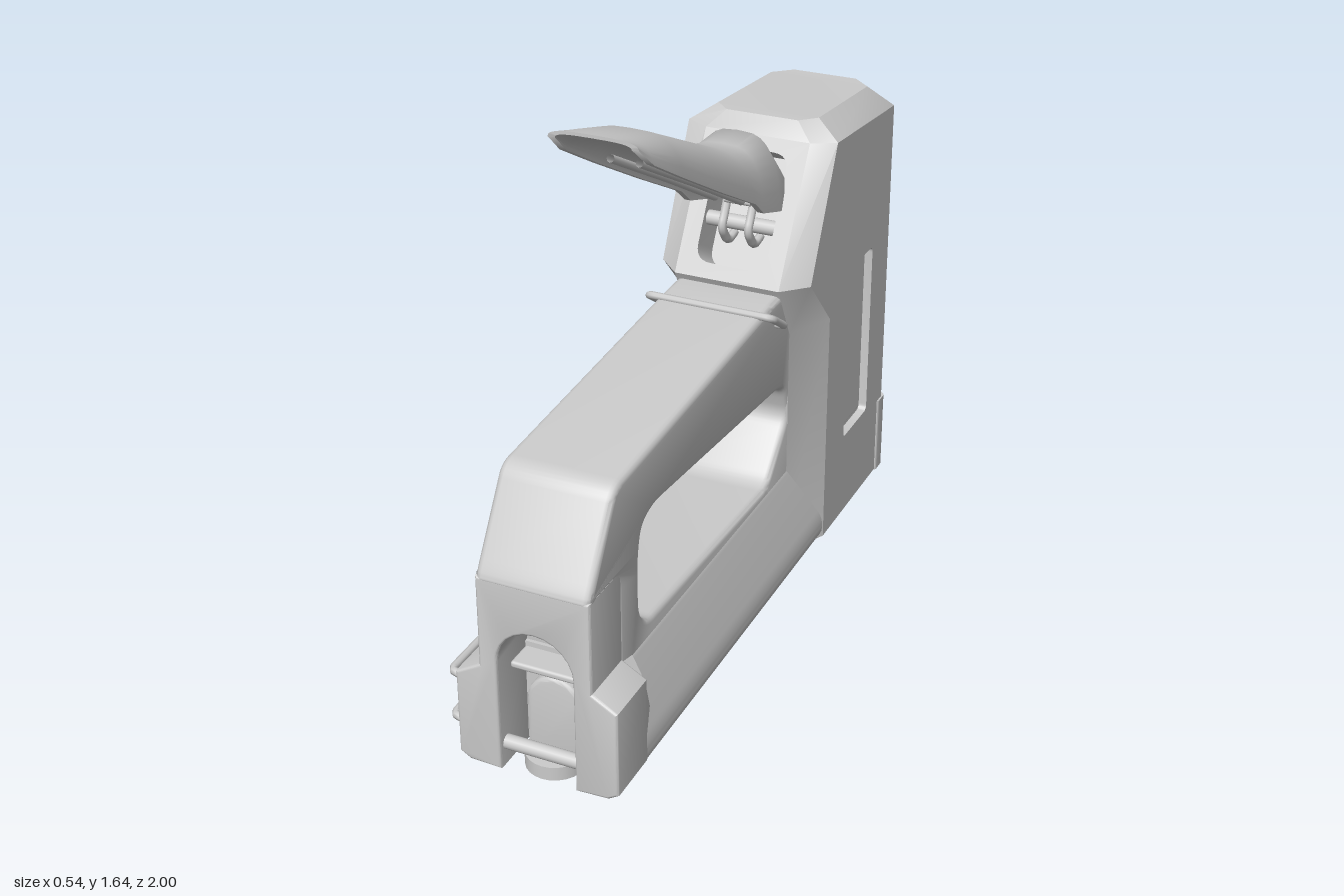
import * as THREE from 'three';
import { toCreasedNormals } from 'three/addons/utils/BufferGeometryUtils.js';
import { RoundedBoxGeometry } from 'three/addons/geometries/RoundedBoxGeometry.js';
import { ConvexGeometry } from 'three/addons/geometries/ConvexGeometry.js';

const material = new THREE.MeshStandardMaterial({ color: 0xcccccc, side: THREE.DoubleSide });

// Polygon with softened corners
function rounded(pts, r, Type = THREE.Shape) {
  const shape = new Type();
  const v = pts.map(p => new THREE.Vector2(...p));
  v.forEach((p, i) => {
    const prev = v[(i + v.length - 1) % v.length], next = v[(i + 1) % v.length];
    const toward = q => {
      const d = q.clone().sub(p);
      return p.clone().add(d.setLength(Math.min(r, d.length() * 0.45)));
    };
    const a = toward(prev), b = toward(next);
    if (i === 0) shape.moveTo(a.x, a.y); else shape.lineTo(a.x, a.y);
    shape.quadraticCurveTo(p.x, p.y, b.x, b.y);
  });
  shape.closePath();
  return shape;
}

// Extrusion spanning z0..z1, with optional bevel kept inside the outline
function extrude(shape, z0, z1, bevel = 0) {
  const g = new THREE.ExtrudeGeometry(shape, {
    depth: z1 - z0 - 2 * bevel, curveSegments: 6, bevelEnabled: bevel > 0,
    bevelThickness: bevel, bevelSize: bevel, bevelOffset: -bevel, bevelSegments: 3
  });
  return toCreasedNormals(g.translate(0, 0, z0 + bevel), 0.6);
}

// Side profiles are given as [z, y] and extruded across x
const side = pts => pts.map(([z, y]) => [-z, y]);
const across = (shape, x0, x1, bevel) => extrude(shape, x0, x1, bevel).rotateY(Math.PI / 2);

// Skin between mirror-symmetric rings, capped at both ends
function loft(rings, crease, skip = () => false) {
  const pos = [], n = rings[0].length;
  const quad = (a, b, c, d) => pos.push(...a, ...b, ...c, ...a, ...c, ...d);
  for (let s = 0; s < rings.length - 1; s++) {
    const r = rings[s], q = rings[s + 1];
    for (let i = 0; i < n; i++) {
      const j = (i + 1) % n;
      if (!skip(s, i)) quad(r[i], r[j], q[j], q[i]);
    }
  }
  const first = rings[0], last = rings[rings.length - 1];
  for (let k = 0; k < n / 2 - 1; k++) {
    quad(last[k], last[k + 1], last[n - 2 - k], last[n - 1 - k]);
    quad(first[n - 1 - k], first[n - 2 - k], first[k + 1], first[k]);
  }
  const g = new THREE.BufferGeometry();
  g.setAttribute('position', new THREE.Float32BufferAttribute(pos, 3));
  return toCreasedNormals(g, crease);
}

// Bent wire: straight runs joined by small bends
function wire(pts, r) {
  const path = new THREE.CurvePath();
  const v = pts.map(p => new THREE.Vector3(...p));
  let from = v[0];
  for (let i = 1; i < v.length - 1; i++) {
    const ease = q => v[i].clone().add(q.clone().sub(v[i]).setLength(Math.min(0.025, q.distanceTo(v[i]) * 0.45)));
    const a = ease(v[i - 1]), b = ease(v[i + 1]);
    path.add(new THREE.LineCurve3(from, a));
    path.add(new THREE.QuadraticBezierCurve3(a, v[i], b));
    from = b;
  }
  path.add(new THREE.LineCurve3(from, v[v.length - 1]));
  return new THREE.TubeGeometry(path, 120, r, 8);
}

export function createModel() {
  const group = new THREE.Group();
  group.position.x = 0.038;
  const add = (name, geometry) => {
    const mesh = new THREE.Mesh(geometry, material);
    mesh.name = name;
    group.add(mesh);
  };
  const box = (name, x, y, z, w, h, d, r = 0.008) =>
    add(name, new RoundedBoxGeometry(w, h, d, 2, r).translate(x, y, z));
  const pin = (name, y, z, r, length) =>
    add(name, new THREE.CylinderGeometry(r, r, length, 16).rotateZ(Math.PI / 2).translate(0, y, z));

  // Handle with the grip opening
  const handle = rounded(side([[-0.3, 0.01], [0.84, 0.01], [0.84, 0.57], [1, 0.57], [1, 0.59],
    [0.85, 0.835], [-0.14, 0.9], [-0.3, 0.9]]), 0.04);
  handle.holes.push(rounded(side([[0.72, 0.4], [0.68, 0.345], [-0.125, 0.32], [-0.275, 0.48], [-0.24, 0.585],
    [-0.19, 0.6], [0.63, 0.668], [0.7, 0.645], [0.72, 0.56]]), 0.04, THREE.Path));
  add('handle', across(handle, -0.16, 0.16, 0.018));

  // Flared lower bar
  const bar = rounded([[-0.228, 0.012], [0.228, 0.012], [0.228, 0.08], [0.155, 0.315], [-0.155, 0.315], [-0.228, 0.08]], 0.03);
  add('lowerBar', extrude(bar, -0.45, 0.85));
  box('bottomRail', 0, 0.011, -0.06, 0.3, 0.02, 1.74);

  // Front foot with an arched slot
  const foot = new THREE.Shape();
  foot.moveTo(-0.108, 0.008);
  [[-0.2, 0.012], [-0.23, 0.03], [-0.23, 0.28], [-0.16, 0.32], [-0.16, 0.585], [0.16, 0.585], [0.16, 0.32],
    [0.23, 0.28], [0.23, 0.03], [0.2, 0.012], [0.108, 0.008], [0.108, 0.34]].forEach(p => foot.lineTo(...p));
  foot.absarc(0, 0.34, 0.108, 0, Math.PI, false);
  foot.closePath();
  add('frontFoot', extrude(foot, 0.825, 1, 0.008));

  // Tapers blending the foot into the bar
  for (const s of [-1, 1]) {
    const corners = [[0.23, 0.28, 0.84], [0.23, 0.08, 0.84], [0.15, 0.32, 0.84], [0.15, 0.08, 0.84],
      [0.15, 0.3, 0.76], [0.205, 0.14, 0.76]];
    add('footTaper', new ConvexGeometry(corners.map(([x, y, z]) => new THREE.Vector3(s * x, y, z))));
  }

  // Magazine end inside the slot
  const end = new THREE.Shape();
  end.moveTo(-0.082, 0);
  end.lineTo(0.082, 0);
  end.lineTo(0.082, 0.175);
  end.absarc(0, 0.175, 0.082, 0, Math.PI, false);
  add('magazineEnd', extrude(end, 0.8, 0.9, 0.01));
  add('magazineFoot', new THREE.CylinderGeometry(0.082, 0.082, 0.04, 24).translate(0, 0.02, 0.9));
  box('slotLedge', 0, 0.29, 0.88, 0.22, 0.02, 0.1);
  pin('slotPin', 0.075, 0.965, 0.02, 0.22);

  // Head shell: horizontal sections, rows as [y, side front z, front z]
  const ring = (y, zs, zf, w, f, zb, drop) => {
    const half = [[f, zf], [w, zs], [w, zb + 0.05], [w - 0.055, zb]]
      .map(([x, z], i) => [x, i > 1 ? y - drop : y, z]);
    return [...half, ...half.slice().reverse().map(([x, yy, z]) => [-x, yy, z])];
  };
  const rows = [[0.012, -0.41, -0.27], [0.75, -0.41, -0.27], [0.92, -0.25, -0.18], [1.29, -0.43, -0.3925]];
  const rings = rows.map(([y, zs, zf], i) => ring(y, zs, zf, 0.23, 0.16, -0.95, i === 3 ? 0.045 : 0));
  rings.push(ring(1.34, -0.47, -0.425, 0.155, 0.11, -0.915, 0.035));
  add('head', loft(rings, 0.5, (s, i) => s < 3 && (i === 1 || i === 5) || s === 2 && i === 7));

  // Head side walls with recessed windows
  const wall = rounded(side([...rows.map(r => [r[1], r[0]]), [-0.9, 1.245], [-0.9, 0.012]]), 0.0001);
  wall.holes.push(rounded(side([[-0.56, 0.28], [-0.56, 0.84], [-0.76, 0.84], [-0.76, 0.28]]), 0.02, THREE.Path));
  for (const s of [-1, 1]) {
    add('headSideWall', across(wall, s > 0 ? 0.19 : -0.23, s > 0 ? 0.23 : -0.19));
    box('windowPanel', s * 0.19, 0.56, -0.66, 0.03, 0.6, 0.24);
    box('windowInset', s * 0.2, 0.56, -0.66, 0.024, 0.53, 0.17);
  }

  // Sloping head front with the lever pocket
  const slope = Math.atan2(0.2125, 0.37);
  const place = g => g.rotateX(-slope).translate(0, 0.92, -0.18);
  const front = rounded([[-0.16, 0], [0.16, 0], [0.16, 0.427], [-0.16, 0.427]], 0.0001);
  front.holes.push(rounded([[-0.108, 0.045], [0.108, 0.045], [0.108, 0.385], [-0.108, 0.385]], 0.05, THREE.Path));
  add('headFront', place(extrude(front, -0.12, 0)));
  add('pocketFloor', place(new THREE.BoxGeometry(0.26, 0.39, 0.01).translate(0, 0.21, -0.12)));

  // Back spine plate
  const spine = rounded([[-0.105, 0.34], [0.105, 0.34], [0.105, 1.22], [-0.105, 1.22]], 0.03);
  add('backPlate', extrude(spine, -1, -0.9, 0.028));

  // Nose cover wrapping the back corners, with a notch at the bottom
  const upright = (pts, y0, y1) => extrude(rounded(pts, 0.01), y0, y1).rotateX(-Math.PI / 2);
  add('noseCover', upright([[-0.235, 0.86], [0.235, 0.86], [0.235, 0.915], [0.18, 0.968], [-0.18, 0.968], [-0.235, 0.915]], 0.045, 0.26));
  for (const s of [-1, 1]) {
    add('noseFoot', upright([[0.05, 0.86], [0.235, 0.86], [0.235, 0.915], [0.18, 0.968], [0.05, 0.968]].map(([x, z]) => [s * x, z]), 0.01, 0.046));
    box('noseLug', s * 0.15, 0.28, -0.95, 0.06, 0.08, 0.034);
  }

  // Squeeze lever: hollow channel, stations as [top z, top y, rim z, rim y, half width]
  const stations = [[-0.38, 1.2, -0.4, 1.1, 0.095], [-0.34, 1.25, -0.36, 1.1, 0.115], [-0.25, 1.355, -0.28, 1.12, 0.12],
    [-0.14, 1.355, -0.16, 1.16, 0.12], [-0.04, 1.38, -0.1, 1.21, 0.121], [0.2, 1.49, 0.13, 1.33, 0.124],
    [0.42, 1.592, 0.38, 1.465, 0.128], [0.57, 1.633, 0.55, 1.56, 0.128], [0.62, 1.642, 0.62, 1.62, 0.122]];
  const N = 17;
  const sections = stations.map(([tz, ty, bz, by, w]) => {
    const arc = (sx, sh) => Array.from({ length: N }, (_, i) => {
      const t = Math.PI * i / (N - 1), c = Math.cos(t);
      const h = sh * Math.pow(Math.max(Math.sin(t), 0), 0.8);
      return [sx * w * Math.sign(c) * Math.pow(Math.abs(c), 0.6), by + (ty - by) * h, bz + (tz - bz) * h];
    });
    return [...arc(1, 1), ...arc(0.84, 0.6).reverse()];
  });
  add('lever', loft(sections, 0.9));

  // Lever ribs, linkage hooks and pivot pins
  for (const x of [-0.04, 0.04]) {
    add('leverRib', wire([[x, 1.515, 0.45], [x, 1.34, 0.12], [x, 1.17, -0.19]], 0.011));
    add('linkHook', wire([[x, 1.17, -0.29], [x, 1.1, -0.26], [x, 1.06, -0.235], [x, 1, -0.28], [x, 1.01, -0.33]], 0.013));
  }
  pin('pivotPin', 1.055, -0.3, 0.022, 0.22);
  pin('linkPin', 1.14, -0.26, 0.011, 0.08);

  // Lever lock wire over the handle
  add('lockWire', wire([[-0.14, 0.827, -0.165], [-0.19, 0.827, -0.165], [-0.19, 0.898, -0.058],
    [0.19, 0.898, -0.058], [0.19, 0.827, -0.165], [0.14, 0.827, -0.165]], 0.011));

  // Belt clip on the right side
  const clip = [[-0.21, 0.92], [-0.295, 0.92], [-0.295, 0.43], [-0.25, 0.3], [-0.25, 0.22], [-0.288, 0.135]];
  add('beltClip', wire([...clip.map(([x, z]) => [x, 0.21, z]),
    ...clip.slice().reverse().map(([x, z]) => [x, 0.07, z])], 0.012));

  return group;
}
